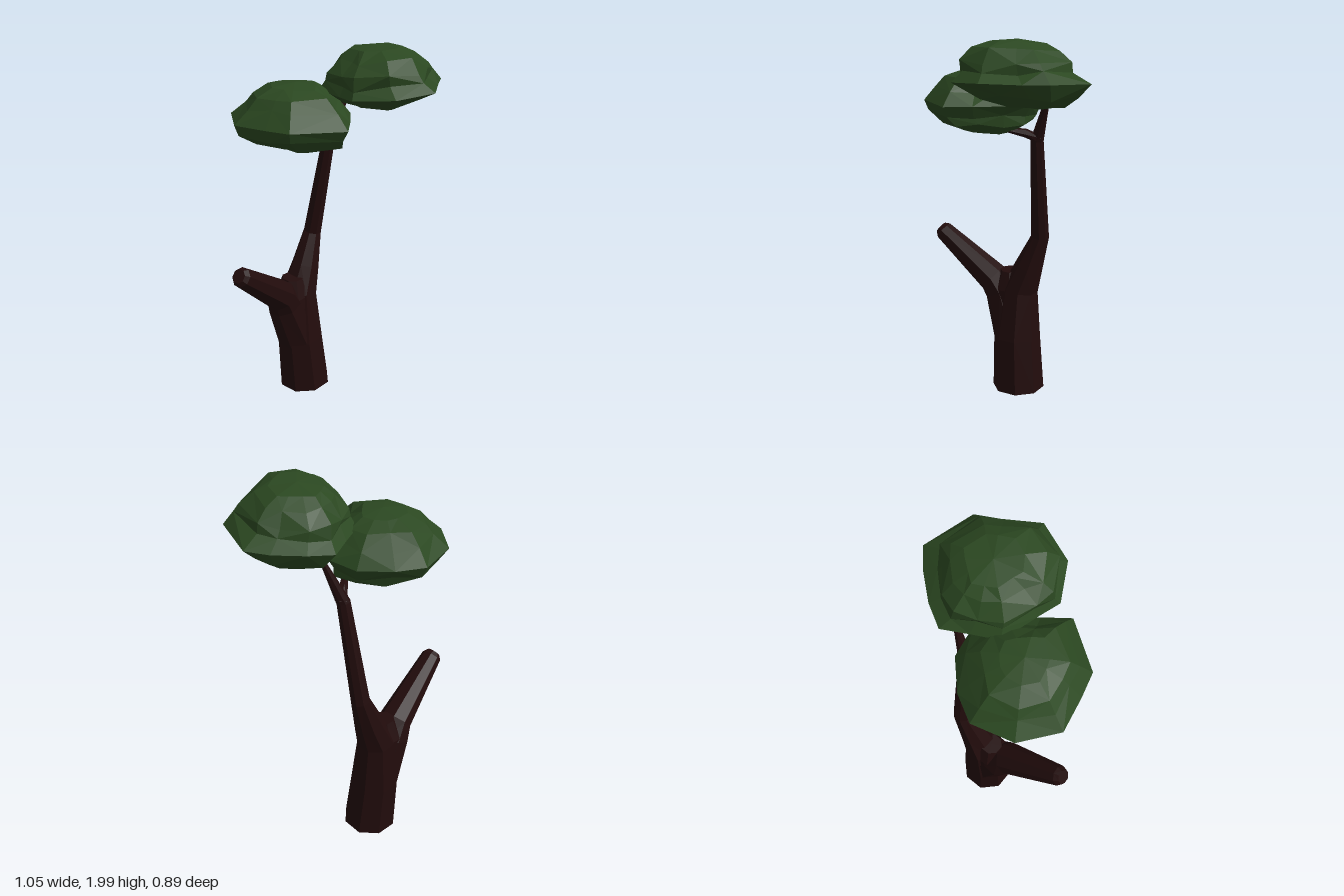
import * as THREE from 'three';

// Skin a stack of equal-length rings, closing both ends on a centre point
function loft(rings, start, end) {
  const n = rings[0].length, pos = [];
  const tri = (...pts) => pts.forEach((p) => pos.push(p.x, p.y, p.z));
  for (let i = 0; i < rings.length - 1; i++) {
    for (let j = 0; j < n; j++) {
      const k = (j + 1) % n;
      const a = rings[i][j], b = rings[i][k], c = rings[i + 1][k], d = rings[i + 1][j];
      if ((i + j) % 2) { tri(a, b, c); tri(a, c, d); } else { tri(a, b, d); tri(b, c, d); }
    }
  }
  const last = rings[rings.length - 1];
  for (let j = 0; j < n; j++) {
    const k = (j + 1) % n;
    tri(rings[0][k], rings[0][j], start);
    tri(last[j], last[k], end);
  }
  const geo = new THREE.BufferGeometry();
  geo.setAttribute('position', new THREE.Float32BufferAttribute(pos, 3));
  geo.computeVertexNormals();
  return geo;
}

// Tapered limb through [x, y, z, radius] stations
function limb(stations, sides, startCap) {
  const pts = stations.map((s) => new THREE.Vector3(s[0], s[1], s[2]));
  const rings = pts.map((p, i) => {
    const t = pts[Math.min(i + 1, pts.length - 1)].clone().sub(pts[Math.max(i - 1, 0)]).normalize();
    if (i === 0) t.set(0, 1, 0).lerp(pts[1].clone().sub(p).normalize(), 0.3).normalize();
    const v = new THREE.Vector3(0, 0, -1);
    v.addScaledVector(t, -v.dot(t)).normalize();
    const u = v.clone().cross(t);
    return Array.from({ length: sides }, (_, j) => {
      const a = ((j + 0.5) / sides) * Math.PI * 2, r = stations[i][3] * 1.04;
      return p.clone().addScaledVector(u, Math.cos(a) * r).addScaledVector(v, Math.sin(a) * r);
    });
  });
  return loft(rings, startCap || pts[0], pts[pts.length - 1]);
}

// Faceted leaf pad: an outline seen from above, repeated in layers of
// [scale, y, roughness, x shift, z shift]
function leafPad(outline, [cx, cz], layers, tilt, seed) {
  const noise = (i, j) => {
    const s = Math.sin(i * 37.7 + j * 91.3 + seed) * 437.58;
    return s - Math.floor(s) - 0.5;
  };
  const rings = layers.map(([scale, y, rough, dx, dz], i) => outline.map(([x, z], j) => {
    const s = scale + noise(i, j) * rough;
    const px = (x - cx) * s, pz = (z - cz) * s;
    const py = y + px * tilt[0] + pz * tilt[1] + noise(j, i + 7) * rough * 0.3;
    return new THREE.Vector3(cx + dx + px, py, cz + dz + pz);
  }));
  const cap = ([, y, , dx, dz], lift) => new THREE.Vector3(cx + dx, y + lift, cz + dz);
  return loft(rings, cap(layers[0], -0.008), cap(layers[layers.length - 1], 0.015));
}

export function createModel() {
  const group = new THREE.Group();
  const bark = new THREE.MeshStandardMaterial({ color: 0x220c0c, flatShading: true });
  bark.name = 'dark bark';
  const leaves = new THREE.MeshStandardMaterial({ color: 0x2b4821, flatShading: true });
  leaves.name = 'leaf green';
  const add = (name, geo, mat) => {
    const mesh = new THREE.Mesh(geo, mat);
    mesh.name = name;
    group.add(mesh);
  };

  // Trunk continuing into the tall bent limb
  add('trunk', limb([
    [-0.008, 0.04, -0.25, 0.139], [-0.026, 0.34, -0.262, 0.126], [-0.016, 0.62, -0.272, 0.097],
    [0.04, 0.76, -0.272, 0.074], [0.105, 0.94, -0.276, 0.047],
    [0.132, 1.48, -0.178, 0.033], [0.215, 1.7, -0.13, 0.012],
  ], 8, new THREE.Vector3(0.04, 0.003, -0.28)), bark);

  // Thick web of wood where the limbs part
  add('fork', limb([
    [-0.06, 0.45, -0.268, 0.1], [-0.075, 0.62, -0.27, 0.09], [-0.072, 0.725, -0.265, 0.055],
  ], 8), bark);

  // Cut-off side branch
  add('stubBranch', limb([
    [-0.034, 0.33, -0.262, 0.118], [-0.13, 0.585, -0.272, 0.094], [-0.18, 0.66, -0.256, 0.084],
    [-0.486, 0.902, -0.212, 0.051], [-0.505, 0.916, -0.21, 0.036],
  ], 8), bark);

  // Twig reaching to the lower leaves
  add('twig', limb([
    [0.14, 1.49, -0.175, 0.033], [0.09, 1.52, -0.13, 0.022], [0, 1.545, -0.05, 0.01],
  ], 6), bark);

  add('upperLeaves', leafPad([
    [0.22, -0.225], [0.1, -0.165], [-0.02, -0.1], [-0.08, 0.08], [-0.12, 0.19], [-0.02, 0.365],
    [0.175, 0.44], [0.34, 0.345], [0.45, 0.285], [0.525, 0.03], [0.45, -0.06], [0.33, -0.165],
  ], [0.2, 0.1], [
    [0.42, 1.685, 0.06, 0.07, -0.05], [0.74, 1.73, 0.12, 0.03, -0.02], [1, 1.795, 0.02, 0, 0],
    [0.84, 1.84, 0.1, -0.02, 0], [0.82, 1.885, 0.1, -0.03, 0],
    [0.62, 1.945, 0.08, -0.03, 0], [0.4, 1.982, 0.04, -0.03, -0.01],
  ], [0.02, 0.06], 2), leaves);

  add('lowerLeaves', leafPad([
    [-0.13, -0.445], [-0.335, -0.395], [-0.465, -0.23], [-0.43, -0.06], [-0.4, 0.065], [-0.175, 0.22],
    [-0.06, 0.13], [0.07, 0.02], [0.145, -0.09], [0.12, -0.25], [0, -0.375],
  ], [-0.165, -0.12], [
    [0.42, 1.525, 0.04, 0.06, 0.03], [0.74, 1.57, 0.1, 0.03, 0.01], [0.9, 1.615, 0.08, 0, 0],
    [1, 1.672, 0.02, 0, 0], [0.79, 1.742, 0.1, 0, 0],
    [0.61, 1.79, 0.08, 0, 0], [0.36, 1.828, 0.04, 0, 0],
  ], [-0.02, 0], 5), leaves);

  return group;
}
